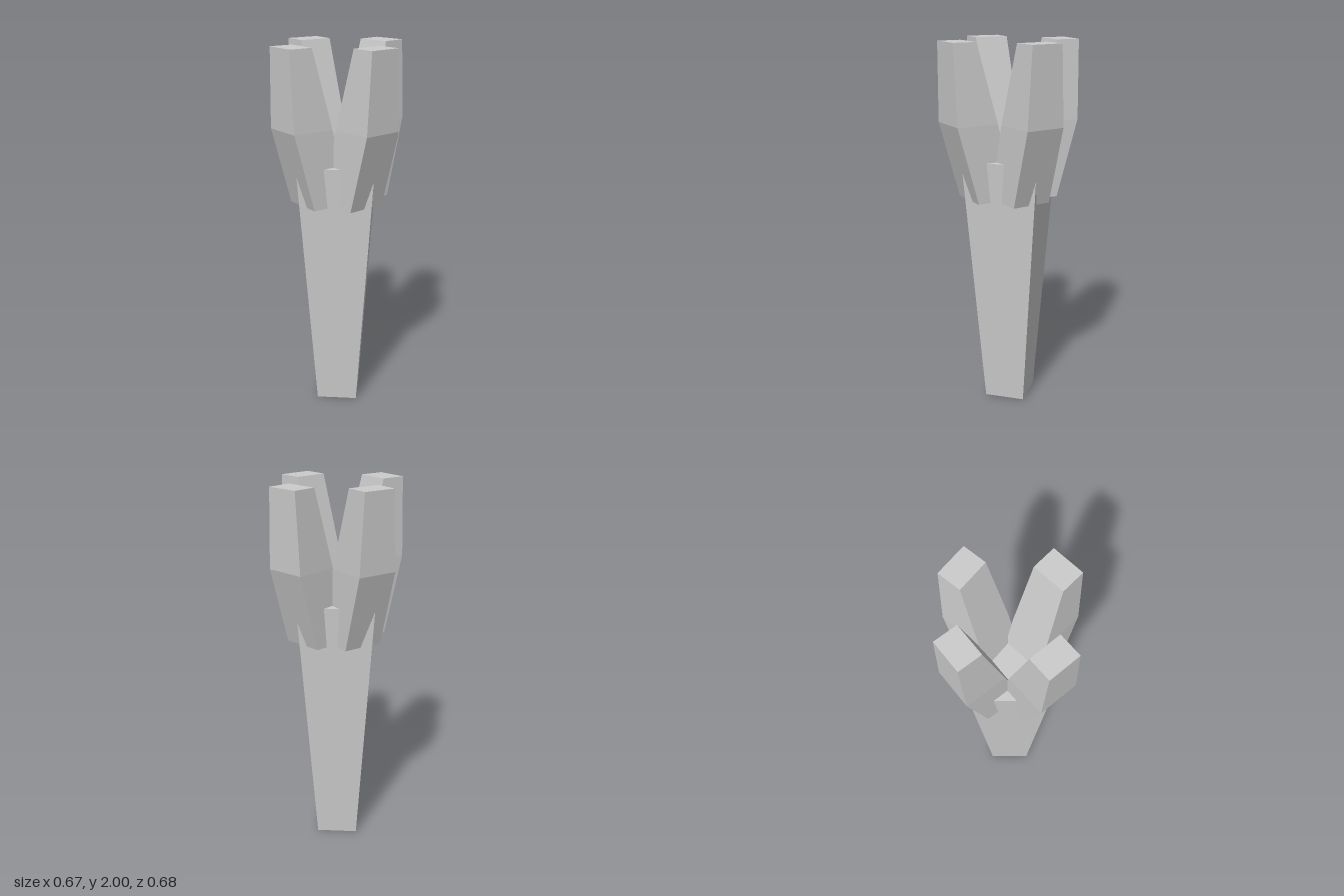
import * as THREE from 'three';

const material = new THREE.MeshStandardMaterial({ color: 0xcccccc, flatShading: true });

// Prong cross-sections, bottom to top; depths are measured from the outer top edge
const LEVELS = [
  { y: 1.165, inner: -0.348, outer: -0.125, half: 0.112 },
  { y: 1.58, inner: -0.241, outer: -0.008, half: 0.111 },
  { y: 2.0, inner: -0.132, outer: 0, half: 0.09 },
];

// A box with one mid ring, its rings moved onto the cross-sections
function prongGeometry() {
  const box = new THREE.BoxGeometry(1, 1, 1, 1, 2, 1);
  const p = box.attributes.position;
  for (let i = 0; i < p.count; i++) {
    const level = LEVELS[Math.round((p.getY(i) + 0.5) * 2)];
    p.setXYZ(i, Math.sign(p.getX(i)) * level.half, level.y, p.getZ(i) > 0 ? level.outer : level.inner);
  }
  const geometry = box.toNonIndexed();
  geometry.computeVertexNormals();
  return geometry;
}

export function createModel() {
  const group = new THREE.Group();

  // Square handle, widening upwards
  const height = 1.38;
  const handleGeometry = new THREE.CylinderGeometry(0.205 * Math.SQRT2, 0.11 * Math.SQRT2, height, 4);
  handleGeometry.rotateY(Math.PI / 4).translate(0, height / 2, 0);
  const handle = new THREE.Mesh(handleGeometry, material);
  handle.name = 'handle';
  group.add(handle);

  // Four slightly uneven prongs: outer top edge centre (x, z) and facing direction (dx, dz)
  const geometry = prongGeometry();
  const prongs = [
    ['frontLeftProng', 0.2525, 0.265, 0.72, 0.69],
    ['backLeftProng', 0.255, -0.267, 0.634, -0.773],
    ['backRightProng', -0.22, -0.278, -0.62, -0.785],
    ['frontRightProng', -0.271, 0.24, -0.76, 0.65],
  ];
  for (const [name, x, z, dx, dz] of prongs) {
    const prong = new THREE.Mesh(geometry, material);
    prong.name = name;
    prong.position.set(x, 0, z);
    prong.rotation.y = Math.atan2(dx, dz);
    group.add(prong);
  }
  return group;
}
